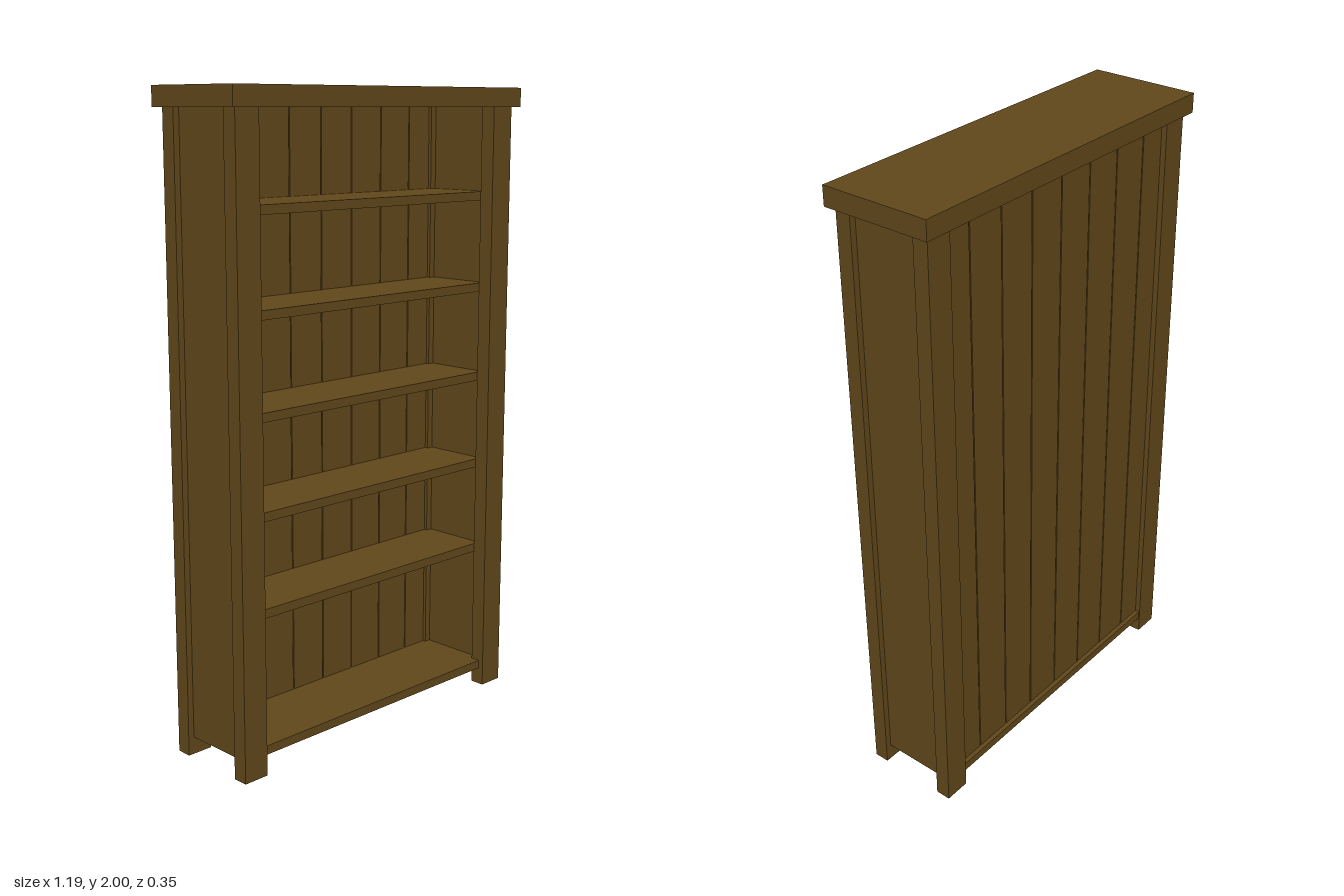
import * as THREE from 'three';

export function createModel() {
  const model = new THREE.Group();
  const wood = new THREE.MeshStandardMaterial({ color: 0x60461a, flatShading: true });

  // Box given by its min and max on each axis
  function box(name, [x0, x1], [y0, y1], [z0, z1]) {
    const mesh = new THREE.Mesh(new THREE.BoxGeometry(x1 - x0, y1 - y0, z1 - z0), wood);
    mesh.position.set((x0 + x1) / 2, (y0 + y1) / 2, (z0 + z1) / 2);
    mesh.name = name;
    model.add(mesh);
  }
  const mirror = ([a, b], s) => (s > 0 ? [a, b] : [-b, -a]);

  const underTop = 1.94, bottomY = 0.055, thickness = 0.028;
  const postX = [0.488, 0.573], postZ = [0.109, 0.158];
  const sideX = [0.51, 0.553];

  box('top', [-0.595, 0.595], [underTop, 2], [-0.177, 0.177]);

  // Corner posts and recessed side panels
  for (const sx of [-1, 1]) {
    const side = sx > 0 ? 'left' : 'right';
    for (const sz of [-1, 1]) {
      box(side + (sz > 0 ? 'FrontPost' : 'BackPost'), mirror(postX, sx), [0, underTop], mirror(postZ, sz));
    }
    box(side + 'SidePanel', mirror(sideX, sx), [bottomY, underTop], [-postZ[0], postZ[0]]);
  }

  // Bottom board, notched around the four posts
  const outer = sideX[1], inner = postX[0], notch = postZ[0], front = 0.155, back = 0.14;
  const outline = new THREE.Shape([
    [-inner, -front], [inner, -front], [inner, -notch], [outer, -notch],
    [outer, notch], [inner, notch], [inner, back], [-inner, back],
    [-inner, notch], [-outer, notch], [-outer, -notch], [-inner, -notch],
  ].map(([x, y]) => new THREE.Vector2(x, y)));
  const bottomGeometry = new THREE.ExtrudeGeometry(outline, { depth: thickness, bevelEnabled: false });
  bottomGeometry.rotateX(Math.PI / 2);
  const bottom = new THREE.Mesh(bottomGeometry, wood);
  bottom.position.y = bottomY + thickness;
  bottom.name = 'bottomBoard';
  model.add(bottom);

  // Shelves between the side panels
  for (let i = 0; i < 5; i++) {
    const y = 0.467 + i * 0.295;
    box('shelf' + (i + 1), [-sideX[0], sideX[0]], [y, y + thickness], [-0.12, notch]);
  }

  // Upright back boards with narrow gaps between them
  const pitch = 0.131, gap = 0.004;
  for (let i = -4; i < 4; i++) {
    const x0 = Math.max(i * pitch + gap / 2, -0.5);
    const x1 = Math.min((i + 1) * pitch - gap / 2, 0.5);
    box('backBoard' + (i + 5), [x0, x1], [bottomY + thickness, underTop], [-0.14, -0.12]);
  }

  return model;
}
